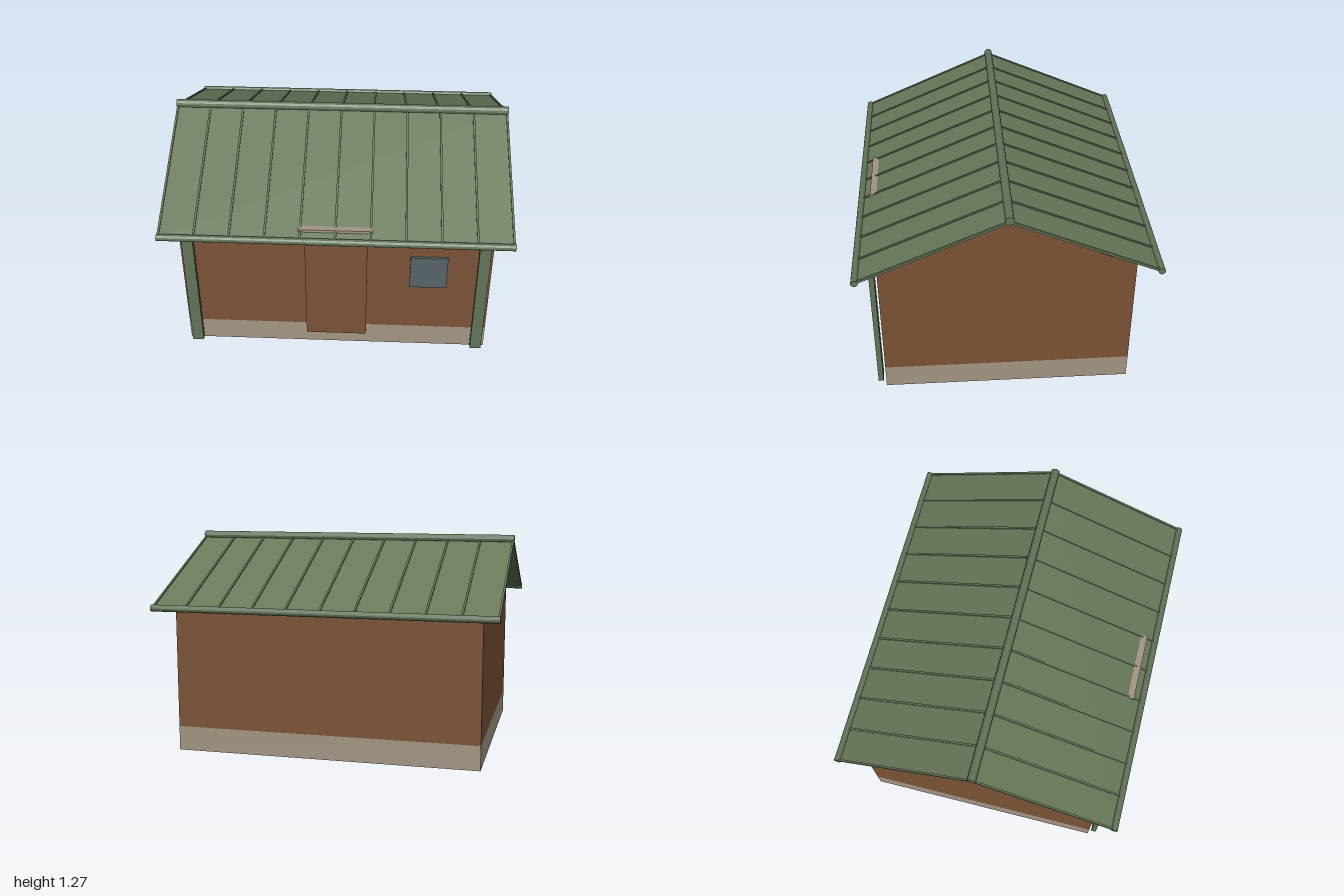
import * as THREE from 'three';

export function createModel() {
  const group = new THREE.Group();
  const mat = (name, color) => {
    const m = new THREE.MeshStandardMaterial({ color, flatShading: true });
    m.name = name;
    return m;
  };
  const brick = mat('brown wall', 0x7a5236);
  const stone = mat('beige stone', 0xa39583);
  const roofGreen = mat('roof green', 0x687859);
  const trimGreen = mat('trim green', 0x617358);
  const glass = mat('blue grey glass', 0x566469);

  const add = (name, geometry, material, x = 0, y = 0, z = 0, parent = group) => {
    const mesh = new THREE.Mesh(geometry, material);
    mesh.name = name;
    mesh.position.set(x, y, z);
    parent.add(mesh);
    return mesh;
  };
  // box given by its minimum and maximum corners
  const box = (name, material, [x0, y0, z0], [x1, y1, z1]) =>
    add(name, new THREE.BoxGeometry(x1 - x0, y1 - y0, z1 - z0), material,
      (x0 + x1) / 2, (y0 + y1) / 2, (z0 + z1) / 2);

  box('foundation', stone, [-0.9, 0, -0.72], [0.9, 0.145, 0.72]);

  // walls and gables as one profile, extruded along x
  const profile = new THREE.Shape([
    [-0.72, 0.145], [0.72, 0.145], [0.72, 0.905], [0.575, 0.905],
    [0, 1.19], [-0.575, 0.905], [-0.72, 0.905],
  ].map(([z, y]) => new THREE.Vector2(z, y)));
  const walls = new THREE.ExtrudeGeometry(profile, { depth: 1.8, bevelEnabled: false });
  walls.translate(0, 0, -0.9).rotateY(Math.PI / 2);
  add('walls', walls, brick);

  // front details
  box('door', brick, [-0.18, 0.08, 0.71], [0.18, 0.86, 0.735]);
  box('doorLintel', stone, [-0.21, 0.865, 0.735], [0.21, 0.911, 0.782]);
  box('window', glass, [0.43, 0.47, 0.71], [0.645, 0.69, 0.735]);
  for (const s of [-1, 1]) {
    const post = box('post', trimGreen, [-0.033, 0.02, 0.738], [0.033, 0.855, 0.768]);
    post.position.x = s * 0.848;
  }

  // roof slopes with standing seams
  const ridgeY = 1.235, eaveY = 0.87, eaveZ = 0.835;
  const length = Math.hypot(eaveZ, ridgeY - eaveY);
  const pitch = Math.atan2(ridgeY - eaveY, eaveZ);
  for (const s of [-1, 1]) {
    const slope = new THREE.Group();
    slope.name = s > 0 ? 'frontSlope' : 'backSlope';
    slope.position.set(0, (ridgeY + eaveY) / 2, s * eaveZ / 2);
    slope.rotation.x = s * pitch;
    group.add(slope);
    add('roofSheet', new THREE.BoxGeometry(1.98, 0.01, length), roofGreen, 0, -0.004, 0, slope);
    for (let i = -5; i <= 5; i++) {
      add('seam', new THREE.BoxGeometry(0.012, 0.014, length), trimGreen, i * 0.1985, 0.001, 0, slope);
    }
  }

  // ridge cap and eave rolls
  const roll = (name, radius, y, z) => {
    const g = new THREE.CylinderGeometry(radius, radius, 2, 12).rotateZ(Math.PI / 2);
    add(name, g, trimGreen, 0, y, z);
  };
  roll('ridgeCap', 0.025, 1.245, 0);
  for (const s of [-1, 1]) roll('eaveRoll', 0.02, eaveY, s * eaveZ);

  return group;
}
